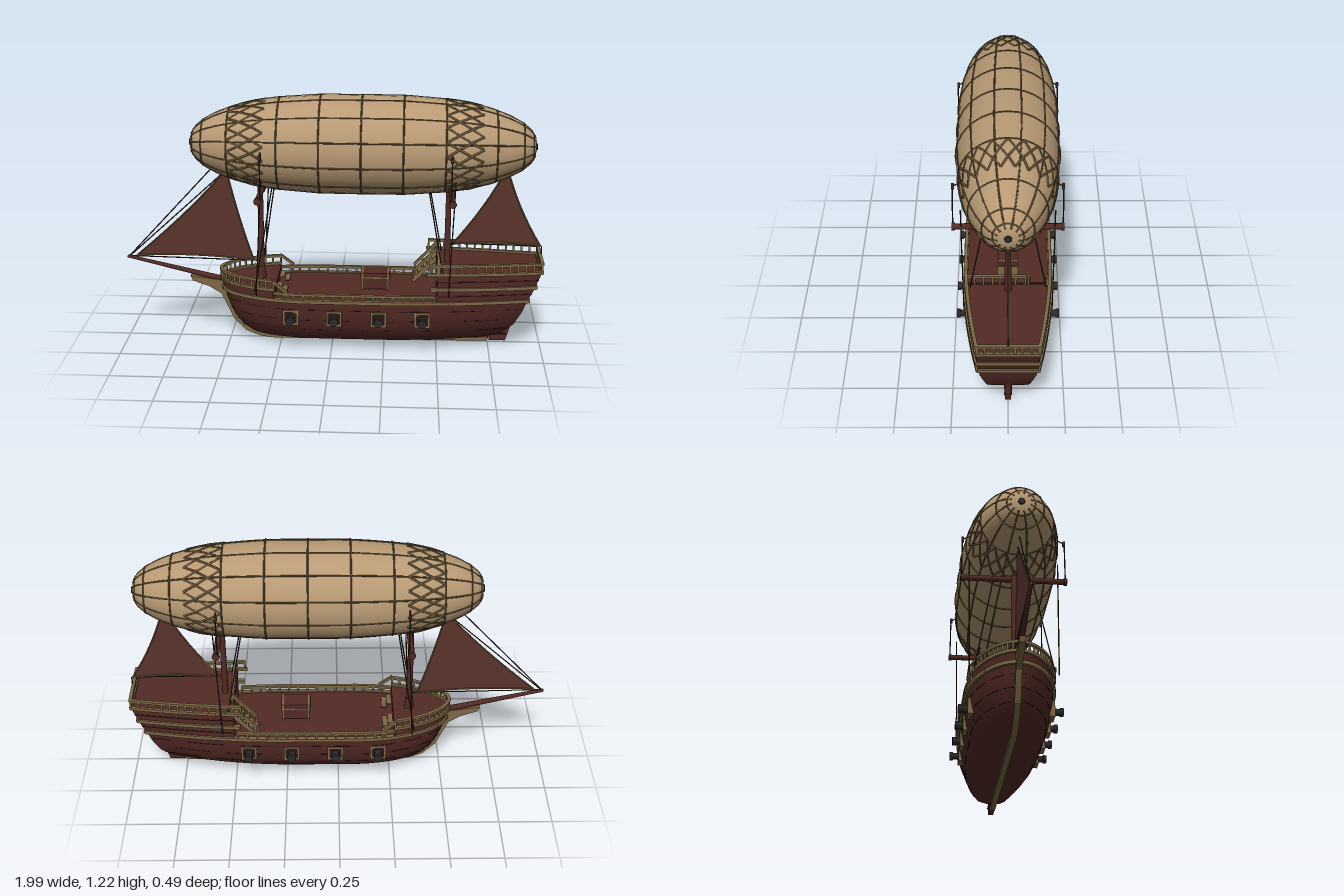
import * as THREE from 'three';
import { mergeGeometries, toCreasedNormals } from 'three/addons/utils/BufferGeometryUtils.js';

const V = (x, y, z) => new THREE.Vector3(x, y, z);
const mat = (name, color, side = THREE.FrontSide) => {
  const m = new THREE.MeshStandardMaterial({ color, side });
  m.name = name;
  return m;
};

// Hull waterlines: y, bow x, stern x, half width, stern width fraction
const LINES = [
  [0.02, -0.34, 0.62, 0.05, 0.1], [0.04, -0.39, 0.74, 0.105, 0.3], [0.075, -0.44, 0.81, 0.148, 0.45],
  [0.13, -0.48, 0.865, 0.18, 0.53], [0.2, -0.51, 0.9, 0.195, 0.6], [0.27, -0.53, 0.925, 0.2, 0.65],
  [0.32, -0.54, 0.95, 0.2, 0.67], [0.41, -0.55, 0.985, 0.196, 0.69], [0.46, -0.555, 0.99, 0.196, 0.69],
];
function waterline(y) {
  let i = 0;
  while (i < LINES.length - 2 && y > LINES[i + 1][0]) i++;
  const a = LINES[i], b = LINES[i + 1], t = (y - a[0]) / (b[0] - a[0]);
  return a.map((v, k) => v + (b[k] - v) * t);
}
function hullPoint(y, u, side = 1) {
  const [, xb, xs, w, f] = waterline(y);
  const bow = u < 0.3 ? Math.pow(1 - (1 - u / 0.3) ** 2, 0.55) : 1;
  const stern = u > 0.55 ? 1 - (1 - f) * ((u - 0.55) / 0.45) ** 1.9 : 1;
  return V(xb + (xs - xb) * u, y, side * w * bow * stern);
}
const uAt = (y, x) => {
  const [, xb, xs] = waterline(y);
  return THREE.MathUtils.clamp((x - xb) / (xs - xb), 0, 1);
};
// One side of a waterline from x0 to x1, spaced tighter at the bow
function sideLine(y, x0, x1, side = 1, n = 24) {
  const a = uAt(y, x0), b = uAt(y, x1);
  return Array.from({ length: n + 1 }, (_, i) => hullPoint(y, a + (b - a) * (a === 0 ? (i / n) ** 1.6 : i / n), side));
}
const aroundStern = (y, x0, n) => [...sideLine(y, x0, 9, 1, n), ...sideLine(y, x0, 9, -1, n).reverse()];
const aroundBow = (y, x1, n) => [...sideLine(y, -9, x1, -1, n).reverse(), ...sideLine(y, -9, x1, 1, n).slice(1)];

// Skin between point rows
function loft(rows) {
  const n = rows[0].length, idx = [];
  for (let j = 0; j < rows.length - 1; j++) for (let i = 0; i < n - 1; i++) {
    const a = j * n + i, b = a + 1, c = a + n, d = c + 1;
    idx.push(a, b, d, a, d, c);
  }
  const g = new THREE.BufferGeometry().setFromPoints(rows.flat());
  g.setIndex(idx);
  g.computeVertexNormals();
  return toCreasedNormals(g, 0.6);
}
const deckSkin = (y, x0, x1) => loft([sideLine(y, x0, x1, 1), sideLine(y, x0, x1, -1)]);

// Round and square bars between two points
function strut(a, b, r, r2 = r, sides = 5) {
  const d = b.clone().sub(a), g = new THREE.CylinderGeometry(r2, r, d.length(), sides);
  g.applyQuaternion(new THREE.Quaternion().setFromUnitVectors(V(0, 1, 0), d.normalize()));
  return g.translate((a.x + b.x) / 2, (a.y + b.y) / 2, (a.z + b.z) / 2);
}
function beam(a, b, w, h) {
  const g = new THREE.BoxGeometry(w, h, a.distanceTo(b) + w * 0.4);
  const mid = a.clone().lerp(b, 0.5);
  return g.applyMatrix4(new THREE.Matrix4().lookAt(a, b, V(0, 1, 0)).setPosition(mid));
}
const chain = (pts, fn) => pts.slice(1).map((p, i) => fn(pts[i], p));
const box = (w, h, d, x, y, z) => new THREE.BoxGeometry(w, h, d).translate(x, y, z);

// Envelope radius by distance from its middle
const PROFILE = [[0, 0.23], [0.2, 0.229], [0.4, 0.214], [0.5, 0.199], [0.6, 0.173], [0.68, 0.143], [0.74, 0.111], [0.78, 0.078], [0.801, 0.045], [0.808, 0]];
const MID = 0.137, CY = 0.98;
function radius(x) {
  const d = Math.abs(x - MID);
  const i = Math.max(1, PROFILE.findIndex(p => p[0] >= d));
  const [d0, r0] = PROFILE[i - 1], [d1, r1] = PROFILE[i];
  return r0 + (r1 - r0) * (d - d0) / (d1 - d0);
}
const onEnvelope = (x, a) => V(x, CY + radius(x) * Math.cos(a), radius(x) * Math.sin(a));

export function createModel() {
  const root = new THREE.Group();
  root.name = 'airship';
  const wood = mat('dark red wood', 0x532a25, THREE.DoubleSide), seam = mat('plank seam', 0x2c1815);
  const trim = mat('tan trim', 0x7c6845), cloth = mat('envelope cloth', 0xb89a74);
  const net = mat('netting', 0x685538), rope = mat('dark rope', 0x3c2a22);
  const iron = mat('iron', 0x2a2a2b), sailCloth = mat('sail cloth', 0x5a332c, THREE.DoubleSide);
  const add = (name, geo, m) => {
    const mesh = new THREE.Mesh(Array.isArray(geo) ? mergeGeometries(geo) : geo, m);
    mesh.name = name;
    root.add(mesh);
  };
  const plate = (name, pts, depth, m) => {
    const s = new THREE.Shape(pts.map(p => new THREE.Vector2(...p)));
    add(name, new THREE.ExtrudeGeometry(s, { depth, bevelEnabled: false }).translate(0, 0, -depth / 2), m);
  };

  // Hull, raised ends and decks
  const rows = [0.02, 0.04, 0.075, 0.13, 0.2, 0.27];
  add('hull', loft(rows.map(y => aroundStern(y, -9))), wood);
  add('hullBottom', loft([sideLine(0.02, -9, 9, -1), sideLine(0.02, -9, 9, 1)]), wood);
  add('quarterdeckWalls', loft([0.27, 0.32, 0.41].map(y => aroundStern(y, 0.5))), wood);
  add('foredeckWalls', loft([0.27, 0.315].map(y => aroundBow(y, -0.27))), wood);
  add('mainDeck', deckSkin(0.268, -9, 9), wood);
  add('foredeck', deckSkin(0.312, -9, -0.27), wood);
  add('quarterdeck', deckSkin(0.405, 0.5, 9), wood);
  add('bulkheads', [box(0.008, 0.14, 0.385, 0.5, 0.34, 0), box(0.008, 0.045, 0.38, -0.27, 0.29, 0)], wood);
  add('cabinDoor', box(0.008, 0.1, 0.06, 0.494, 0.32, 0), trim);

  // Broken plank seams along both sides
  const seams = [];
  for (const s of [1, -1]) {
    [0.11, 0.165, 0.22].forEach((y, k) => chain(sideLine(y, -9, 9, s), (a, b) => beam(a, b, 0.004, 0.003))
      .forEach((g, i) => (i + k) % 3 && seams.push(g)));
    for (const y of [0.3, 0.37]) seams.push(...chain(sideLine(y, 0.5, 9, s, 10), (a, b) => beam(a, b, 0.006, 0.004)));
  }
  add('plankSeams', seams, seam);

  // Wales and railings
  const trims = chain(aroundStern(0.265, -9), (a, b) => beam(a, b, 0.022, 0.016));
  trims.push(...chain(aroundStern(0.335, 0.47, 12), (a, b) => beam(a, b, 0.02, 0.016)));
  trims.push(...chain(aroundStern(0.408, 0.45, 12), (a, b) => beam(a, b, 0.016, 0.014)));
  trims.push(...chain(aroundBow(0.315, -0.27, 14), (a, b) => beam(a, b, 0.018, 0.014)));
  const railing = (pts, h) => {
    const up = pts.map(p => p.clone().setY(p.y + h));
    trims.push(...chain(up, (a, b) => beam(a, b, 0.016, 0.012)));
    pts.forEach((p, i) => trims.push(beam(p, up[i].clone().add(V(0.0001, 0, 0)), 0.009, 0.009)));
  };
  railing(aroundStern(0.41, 0.46, 14), 0.04);
  railing([0.13, 0.1, 0.06, 0.03, 0, -0.03, -0.06, -0.1, -0.13].map(z => V(0.985, 0.41, z)), 0.04);
  railing([0.19, 0.15, 0.11, 0.07, 0.035, 0, -0.035, -0.08].map(z => V(0.505, 0.405, z)), 0.045);
  railing(aroundBow(0.317, -0.27, 11), 0.04);
  for (const s of [1, -1]) {
    railing(sideLine(0.27, -0.27, 0.48, s, 16), 0.028);
    railing([V(-0.27, 0.317, s * 0.19), V(-0.21, 0.27, s * 0.195)], 0.04);
    for (let i = 0; i < 2; i++) trims.push(box(0.025, 0.008, 0.08, -0.25 + i * 0.025, 0.298 - i * 0.016, s * 0.08));
  }
  // Stairs to the quarterdeck, with handrails
  for (let i = 0; i < 5; i++) trims.push(box(0.03, 0.008, 0.08, 0.4 + i * 0.021, 0.29 + i * 0.024, -0.135));
  for (const z of [-0.093, -0.177]) {
    trims.push(beam(V(0.385, 0.272, z), V(0.505, 0.4, z), 0.008, 0.018));
    railing([0, 1, 2, 3].map(i => V(0.395 + i * 0.037, 0.285 + i * 0.04, z)), 0.045);
  }
  add('railingsAndTrim', trims, trim);

  // Keel, stem and rudder
  plate('keelAndStem', [[-0.69, 0.315], [-0.68, 0.29], [-0.6, 0.262], [-0.54, 0.225], [-0.515, 0.17], [-0.48, 0.095], [-0.42, 0.035],
    [-0.35, 0.008], [-0.28, 0], [0.75, 0.008], [0.75, 0.024], [-0.28, 0.024], [-0.36, 0.04], [-0.43, 0.085], [-0.47, 0.15], [-0.5, 0.23], [-0.52, 0.29]], 0.028, trim);
  plate('sternPost', [[0.6, 0.015], [0.752, 0.015], [0.765, 0.09], [0.84, 0.15], [0.72, 0.1]], 0.022, wood);
  plate('rudder', [[0.757, 0.012], [0.835, 0.012], [0.85, 0.06], [0.872, 0.15], [0.83, 0.145], [0.77, 0.09]], 0.026, wood);
  add('rudderHinges', [box(0.09, 0.008, 0.034, 0.795, 0.045, 0), box(0.07, 0.008, 0.034, 0.815, 0.095, 0)], seam);

  // Gun ports and cannons
  const frames = [], guns = [], holes = [];
  for (const s of [1, -1]) for (const x of [-0.19, 0.015, 0.225, 0.43]) {
    const z = Math.abs(hullPoint(0.18, uAt(0.18, x)).z), y = 0.18;
    for (const k of [-1, 1]) {
      frames.push(box(0.011, 0.075, 0.025, x + k * 0.032, y, s * z));
      frames.push(box(0.075, 0.011, 0.025, x, y + k * 0.032, s * z));
    }
    holes.push(box(0.054, 0.054, 0.008, x, y, s * (z + 0.001)));
    guns.push(strut(V(x, 0.177, s * (z - 0.03)), V(x, 0.177, s * 0.228), 0.019, 0.016, 10));
    guns.push(strut(V(x, 0.177, s * 0.222), V(x, 0.177, s * 0.238), 0.021, 0.021, 10));
  }
  add('gunPortFrames', frames, trim);
  add('gunPortHoles', holes, seam);
  add('cannons', guns, iron);

  // Chest on the main deck
  add('chest', [box(0.13, 0.06, 0.085, 0.205, 0.305, 0), box(0.14, 0.022, 0.095, 0.205, 0.346, 0)], wood);
  add('chestBands', [-0.062, 0.062].map(d => box(0.008, 0.088, 0.097, 0.205 + d, 0.314, 0)).concat([box(0.144, 0.006, 0.097, 0.205, 0.333, 0)]), trim);

  // Masts, yards and bowsprit
  const spars = [strut(V(-0.5, 0.29, 0), V(-0.995, 0.405, 0), 0.015, 0.008, 8)], bands = [], ropes = [];
  for (const [x, y0] of [[-0.345, 0.31], [0.545, 0.27]]) {
    spars.push(strut(V(x, y0, 0), V(x, 0.79, 0), 0.016, 0.013, 10), strut(V(x, y0, 0), V(x, y0 + 0.06, 0), 0.024, 0.018, 8));
    const yx = x + 0.012;
    spars.push(strut(V(yx, 0.765, -0.245), V(yx, 0.765, 0.245), 0.014, 0.014, 8));
    for (const z of [-0.238, -0.03, 0.03, 0.238]) bands.push(strut(V(yx, 0.765, z - 0.007), V(yx, 0.765, z + 0.007), 0.018, 0.018, 8));
  }
  add('mastsAndBowsprit', spars, wood);
  add('yardBands', bands, wood);

  // Rigging
  const line = (...p) => ropes.push(...chain(p, (a, b) => strut(a, b, 0.003, 0.003, 4)));
  for (const s of [1, -1]) {
    line(V(-0.28, 0.79, s * 0.09), V(-0.36, 0.3, s * 0.18));
    line(V(0.45, 0.79, s * 0.09), V(0.53, 0.36, s * 0.18));
    line(V(-0.32, 0.86, s * 0.205), V(-0.35, 0.29, s * 0.2));
    line(V(0.57, 0.86, s * 0.205), V(0.55, 0.3, s * 0.2));
    for (const x of [-0.32, 0.55]) {
      line(V(x, 0.765, s * 0.24), V(x, 0.97, s * 0.238), V(x, 0.99, s * 0.2));
      ropes.push(box(0.014, 0.024, 0.012, x, 0.97, s * 0.236));
    }
  }
  line(V(-0.985, 0.407, 0), V(-0.55, 0.88, 0));
  line(V(-0.985, 0.405, 0), V(-0.5, 0.85, 0));
  line(V(-0.985, 0.407, 0), V(-0.36, 0.395, 0));
  line(V(0.545, 0.5, 0), V(0.99, 0.495, 0), V(0.99, 0.44, 0));
  add('rigging', ropes, rope);

  // Triangular sails with curved edges
  const sail = (name, corners, bows) => {
    const s = new THREE.Shape().moveTo(...corners[0]);
    corners.forEach((c, i) => s.quadraticCurveTo(...bows[i], ...corners[(i + 1) % 3]));
    add(name, new THREE.ShapeGeometry(s, 10), sailCloth);
    const pts = s.getPoints(8).map(p => V(p.x, p.y, 0));
    add(name + 'Piping', chain(pts.filter((p, i) => !i || p.distanceTo(pts[i - 1]) > 1e-4), (a, b) => strut(a, b, 0.0035, 0.0035, 4)), trim);
  };
  sail('foreSail', [[-0.95, 0.41], [-0.38, 0.395], [-0.505, 0.85]], [[-0.66, 0.43], [-0.45, 0.6], [-0.67, 0.65]]);
  sail('aftSail', [[0.565, 0.495], [0.985, 0.495], [0.815, 0.88]], [[0.77, 0.52], [0.87, 0.68], [0.72, 0.68]]);

  // Envelope
  const curve = new THREE.SplineCurve([...PROFILE.slice(1).reverse().map(([d, r]) => new THREE.Vector2(r, -d)), ...PROFILE.map(([d, r]) => new THREE.Vector2(r, d))]);
  const pts = curve.getPoints(60).map(p => new THREE.Vector2(Math.max(0, p.x), p.y));
  add('envelope', new THREE.LatheGeometry(pts, 36).rotateZ(-Math.PI / 2).translate(MID, CY, 0), cloth);

  // Hoops, ribs and diamond netting
  const cords = [];
  for (const d of [0, 0.193, 0.386, 0.62, 0.745, 0.79]) for (const s of d ? [1, -1] : [1]) {
    const x = MID + s * d;
    cords.push(new THREE.TorusGeometry(radius(x) + 0.001, 0.004, 5, 36).rotateY(Math.PI / 2).translate(x, CY, 0));
  }
  const stations = [...PROFILE.slice(1, -1).reverse().map(p => MID - p[0]), ...PROFILE.slice(0, -1).map(p => MID + p[0])];
  for (let k = 0; k < 12; k++) {
    const a = (k + 0.5) * Math.PI / 6;
    cords.push(...chain(stations.map(x => onEnvelope(x, a)), (p, q) => strut(p, q, 0.004)));
  }
  const N = 20, step = Math.PI * 2 / N;
  for (const start of [-0.48, 0.525]) for (let c = 0; c < 3; c++) for (let k = 0; k < N; k++) {
    const x0 = start + c * 0.056, x1 = x0 + 0.056, a = (k + (c % 2) / 2) * step;
    for (const s of [0.5, -0.5]) cords.push(strut(onEnvelope(x0, a), onEnvelope(x1, a + s * step), 0.0055));
  }
  add('netting', cords, net);
  add('noseCaps', [-1, 1].map(s => strut(V(MID + s * 0.8, CY, 0), V(MID + s * 0.812, CY, 0), 0.016, 0.016, 10)), iron);
  return root;
}
